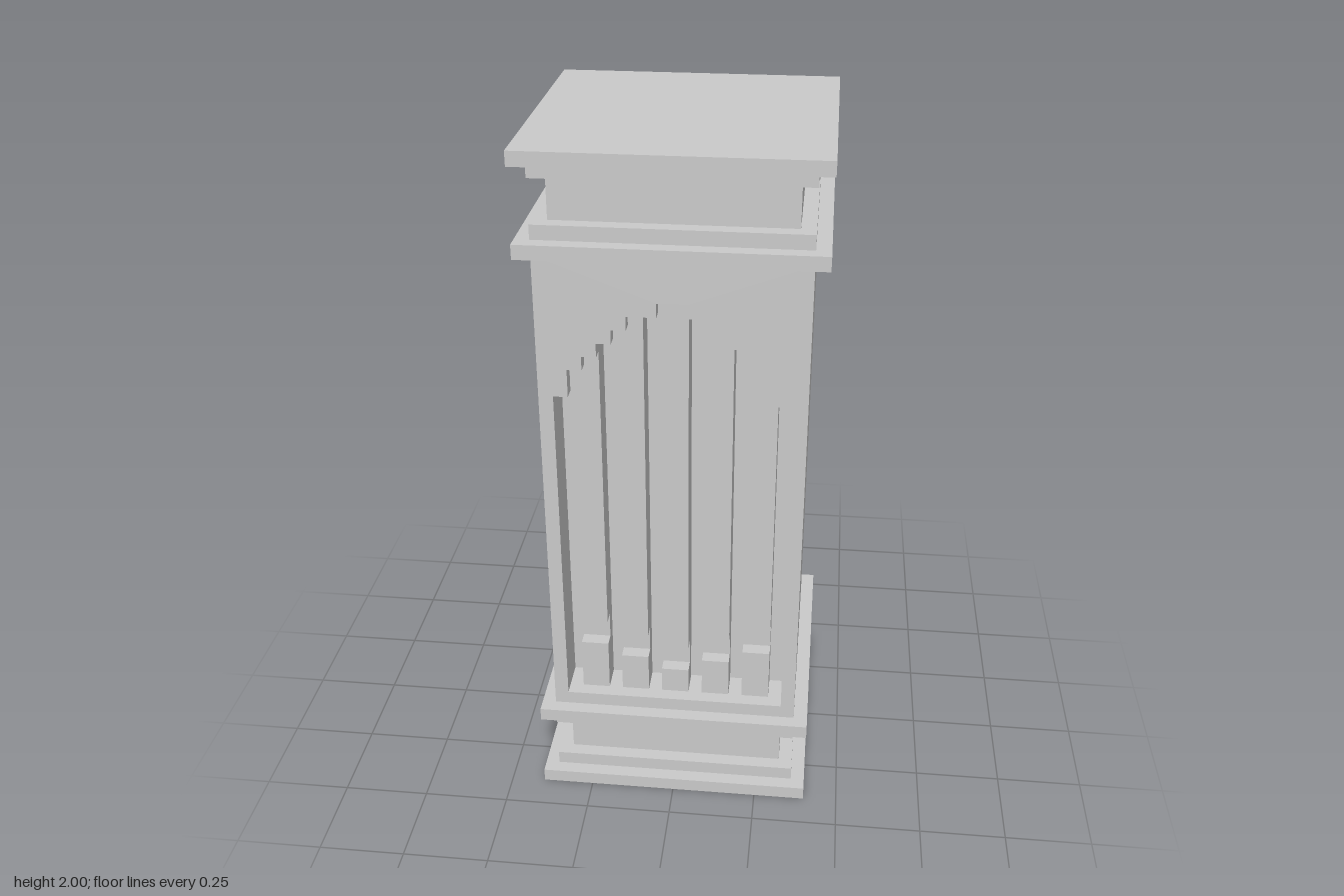
import * as THREE from 'three';

const U = 0.04; // module: every size is a multiple of this
const material = new THREE.MeshStandardMaterial({ color: 0xcccccc, flatShading: true });

// Height of the stepped arch, in modules, for each column outward from the centre
const ARCH = [40, 39, 39, 38, 37, 36, 35, 33];
const archTop = (col) => ARCH[col >= 0 ? col : -col - 1];

// Outline between columns c0 and c1, from height y0 up to the stepped arch
function archOutline(c0, c1, y0, PathType = THREE.Shape) {
  const path = new PathType();
  path.moveTo(c1 * U, y0 * U);
  path.lineTo(c0 * U, y0 * U);
  let last = y0;
  for (let c = c0; c < c1; c++) {
    const top = archTop(c);
    if (top !== last) {
      if (c > c0) path.lineTo(c * U, last * U);
      path.lineTo(c * U, top * U);
    }
    last = top;
  }
  path.lineTo(c1 * U, last * U);
  path.closePath();
  return path;
}

function add(parent, name, geometry) {
  const mesh = new THREE.Mesh(geometry, material);
  mesh.name = name;
  parent.add(mesh);
  return mesh;
}

// Box from min and max corners given in modules
function block(parent, name, x0, x1, y0, y1, z0, z1) {
  const geometry = new THREE.BoxGeometry((x1 - x0) * U, (y1 - y0) * U, (z1 - z0) * U);
  add(parent, name, geometry)
    .position.set((x0 + x1) * U / 2, (y0 + y1) * U / 2, (z0 + z1) * U / 2);
}

// Shape extruded between two depths given in modules
function slab(parent, name, shape, z0, z1) {
  const geometry = new THREE.ExtrudeGeometry(shape, { depth: (z1 - z0) * U, bevelEnabled: false });
  add(parent, name, geometry).position.z = z0 * U;
}

export function createModel() {
  const model = new THREE.Group();
  model.name = 'organPipePillar';

  // Matching base and capital: [name, bottom, top, half width]
  const tiers = [
    ['outerPlate', 0, 1, 10],
    ['outerStep', 1, 2, 9],
    ['neck', 2, 5, 8],
    ['innerStep', 5, 6, 9],
    ['innerPlate', 6, 7, 10],
  ];
  const base = new THREE.Group();
  base.name = 'base';
  const capital = new THREE.Group();
  capital.name = 'capital';
  model.add(base, capital);
  for (const [name, y0, y1, w] of tiers) block(base, name, -w, w, y0, y1, -w, w);
  // The capital has its wide plate at both ends and steps facing inward from above
  const capitalTiers = [[43, 44, 10], [44, 45, 9], [45, 48, 8], [48, 49, 9], [49, 50, 10]];
  capitalTiers.forEach(([y0, y1, w], i) =>
    block(capital, tiers[4 - i][0], -w, w, y0, y1, -w, w));

  // Shaft: solid back and a front wall pierced by the arched niche
  const NICHE = 6, FRONT = 9;
  block(model, 'shaftBody', -9, 9, 7, 43, -9, NICHE);
  const wall = new THREE.Shape([[-9, 7], [9, 7], [9, 43], [-9, 43]]
    .map(([x, y]) => new THREE.Vector2(x * U, y * U)));
  wall.holes.push(archOutline(-8, 8, 8, THREE.Path));
  slab(model, 'shaftFrontWall', wall, NICHE, FRONT);

  // Five pipes, each with a foot, a recessed mouth and a tall body
  const pipes = new THREE.Group();
  pipes.name = 'pipes';
  model.add(pipes);
  for (let i = -2; i <= 2; i++) {
    const x = i * 3, mouth = 10 + Math.abs(i);
    const pipe = new THREE.Group();
    pipe.name = 'pipe';
    pipes.add(pipe);
    slab(pipe, 'pipeCore', archOutline(x - 1, x + 1, 8), NICHE, 7);
    block(pipe, 'pipeFoot', x - 1, x + 1, 8, mouth, 7, 8);
    slab(pipe, 'pipeBody', archOutline(x - 1, x + 1, mouth + 2), 7, 8);
  }

  return model;
}
